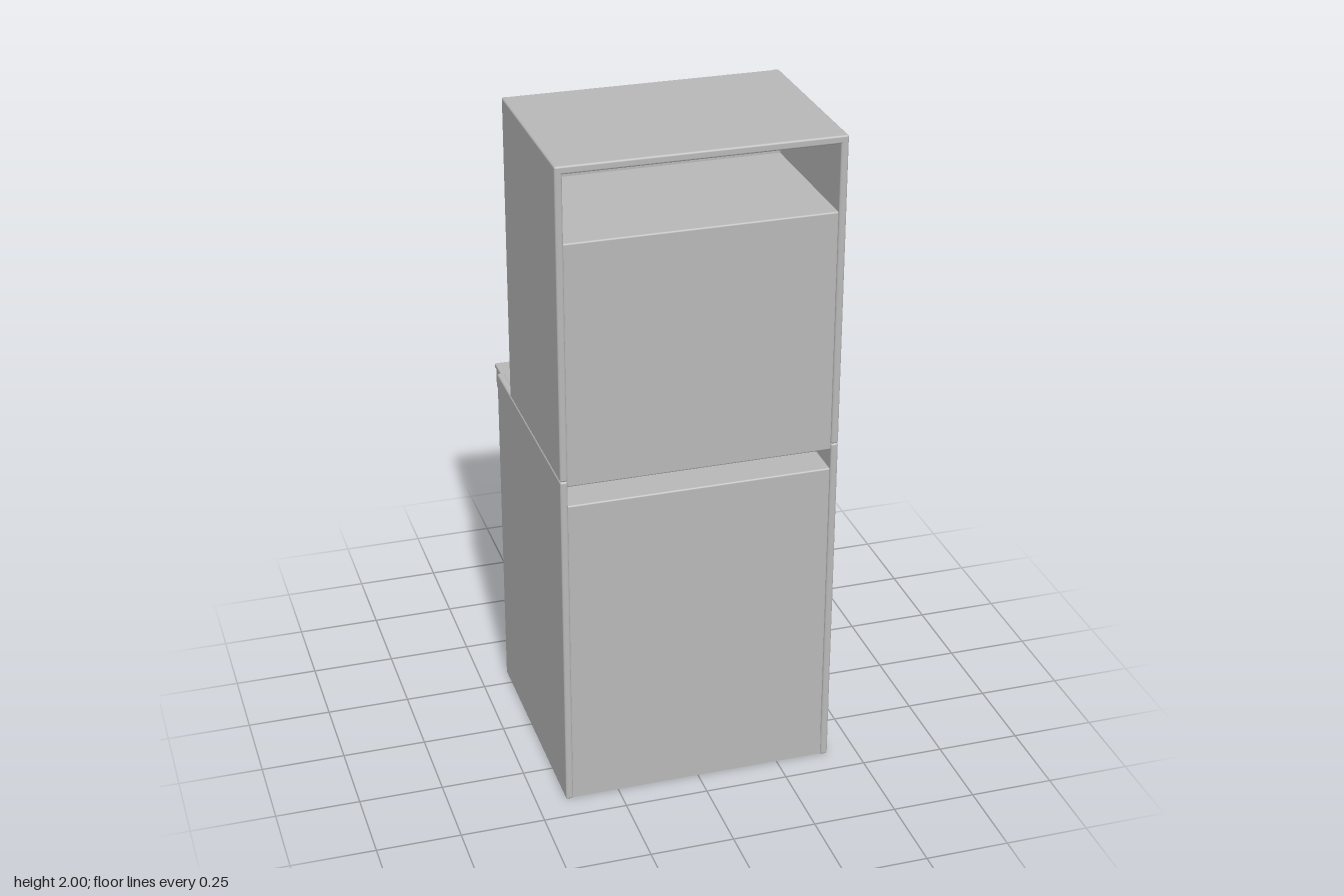
import * as THREE from 'three';
import { RoundedBoxGeometry } from 'three/addons/geometries/RoundedBoxGeometry.js';

const grey = new THREE.MeshStandardMaterial({ color: 0xb8b8b8 });
grey.name = 'cabinetGrey';

export function createModel() {
  const model = new THREE.Group();
  model.name = 'arcadeCabinet';

  const add = (name, geometry, x = 0, y = 0, z = 0, parent = model) => {
    const mesh = new THREE.Mesh(geometry, grey);
    mesh.name = name;
    mesh.position.set(x, y, z);
    parent.add(mesh);
    return mesh;
  };
  // Box given by its limits, with softened edges when r > 0
  const box = (name, [x0, x1], [y0, y1], [z0, z1], r = 0, parent = model) => {
    const size = [x1 - x0, y1 - y0, z1 - z0];
    const geometry = r ? new RoundedBoxGeometry(...size, 2, r) : new THREE.BoxGeometry(...size);
    return add(name, geometry, (x0 + x1) / 2, (y0 + y1) / 2, (z0 + z1) / 2, parent);
  };
  const group = (name) => {
    const g = new THREE.Group();
    g.name = name;
    model.add(g);
    return g;
  };

  // Side panels, lower and upper
  for (const s of [-1, 1]) {
    const xs = s > 0 ? [0.39, 0.412] : [-0.412, -0.39];
    const side = s > 0 ? 'left' : 'right';
    box(side + 'LowerSide', xs, [0, 1.065], [-0.315, 0.42], 0.006);
    box(side + 'UpperSide', xs, [1.065, 2], [-0.152, 0.42], 0.006);
  }
  box('roof', [-0.412, 0.412], [1.976, 2], [-0.15, 0.42], 0.006);

  // Lower body with a kick plate
  box('lowerBody', [-0.392, 0.392], [0.075, 0.985], [-0.285, 0.415], 0.005);
  box('kickPlate', [-0.392, 0.392], [0.002, 0.08], [-0.278, 0.415]);

  // Monitor housing and marquee
  box('monitorHousing', [-0.392, 0.392], [1.045, 1.778], [-0.065, 0.415], 0.005);
  box('marquee', [-0.392, 0.392], [1.78, 1.978], [-0.118, -0.09]);
  box('marqueeSoffit', [-0.392, 0.392], [1.772, 1.786], [-0.112, -0.06]);

  // Screen frame
  const frame = group('screenFrame');
  const w = 0.375, y0 = 1.1, y1 = 1.72, t = 0.04, zs = [-0.095, -0.05];
  box('frameBottom', [-w, w], [y0, y0 + t], zs, 0.008, frame);
  box('frameTop', [-w, w], [y1 - t, y1], zs, 0.008, frame);
  for (const s of [-1, 1]) {
    const xs = s > 0 ? [w - t, w] : [-w, t - w];
    box('frameSide', xs, [y0, y1], zs, 0.008, frame);
  }

  // Gently bulging screen
  const sw = 2 * (w - t) + 0.01, sh = y1 - y0 - 2 * t + 0.01;
  const glass = new THREE.PlaneGeometry(sw, sh, 16, 12);
  const p = glass.attributes.position;
  for (let i = 0; i < p.count; i++) {
    const u = (2 * p.getX(i)) / sw, v = (2 * p.getY(i)) / sh;
    p.setZ(i, 0.015 * (1 - u * u) * (1 - v * v));
  }
  glass.computeVertexNormals();
  glass.rotateY(Math.PI);
  add('screen', glass, 0, (y0 + y1) / 2, -0.07);

  // Control panel
  box('controlTop', [-0.393, 0.393], [1.032, 1.047], [-0.424, -0.06], 0.004);
  box('controlLip', [-0.391, 0.391], [0.97, 1.04], [-0.418, -0.285], 0.005);

  // Joystick
  const top = 1.047, cz = -0.268;
  const stick = group('joystick');
  stick.position.set(0.177, top, cz);
  add('stickBase', new THREE.CylinderGeometry(0.028, 0.033, 0.008, 32), 0, 0.004, 0, stick);
  add('stickShaft', new THREE.CylinderGeometry(0.006, 0.006, 0.1, 16), 0, 0.05, 0, stick);
  add('stickBall', new THREE.SphereGeometry(0.024, 24, 16), 0, 0.108, 0, stick);

  // Buttons: a collar with a plunger in it
  for (const x of [-0.051, -0.006, 0.039]) {
    const button = group('button');
    button.position.set(x, top, cz);
    add('buttonCollar', new THREE.CylinderGeometry(0.018, 0.02, 0.008, 24), 0, 0.004, 0, button);
    add('buttonPlunger', new THREE.CylinderGeometry(0.013, 0.013, 0.016, 24), 0, 0.008, 0, button);
  }

  // Coin door with rim, two slots and a lock
  const door = group('coinDoor');
  box('doorPlate', [-0.095, 0.095], [0.26, 0.54], [-0.294, -0.28], 0, door);
  for (const s of [-1, 1]) {
    const xs = s > 0 ? [0.095, 0.107] : [-0.107, -0.095];
    box('doorRimSide', xs, [0.25, 0.55], [-0.3, -0.28], 0.003, door);
    const ys = s > 0 ? [0.538, 0.55] : [0.25, 0.262];
    box('doorRimEnd', [-0.107, 0.107], ys, [-0.3, -0.28], 0.003, door);
    box('coinSlot', [s * 0.05 - 0.022, s * 0.05 + 0.022], [0.388, 0.416], [-0.308, -0.29], 0.003, door);
  }
  const lock = add('lock', new THREE.CylinderGeometry(0.013, 0.013, 0.016, 20), 0, 0.305, -0.298, door);
  lock.rotation.x = Math.PI / 2;

  return model;
}
